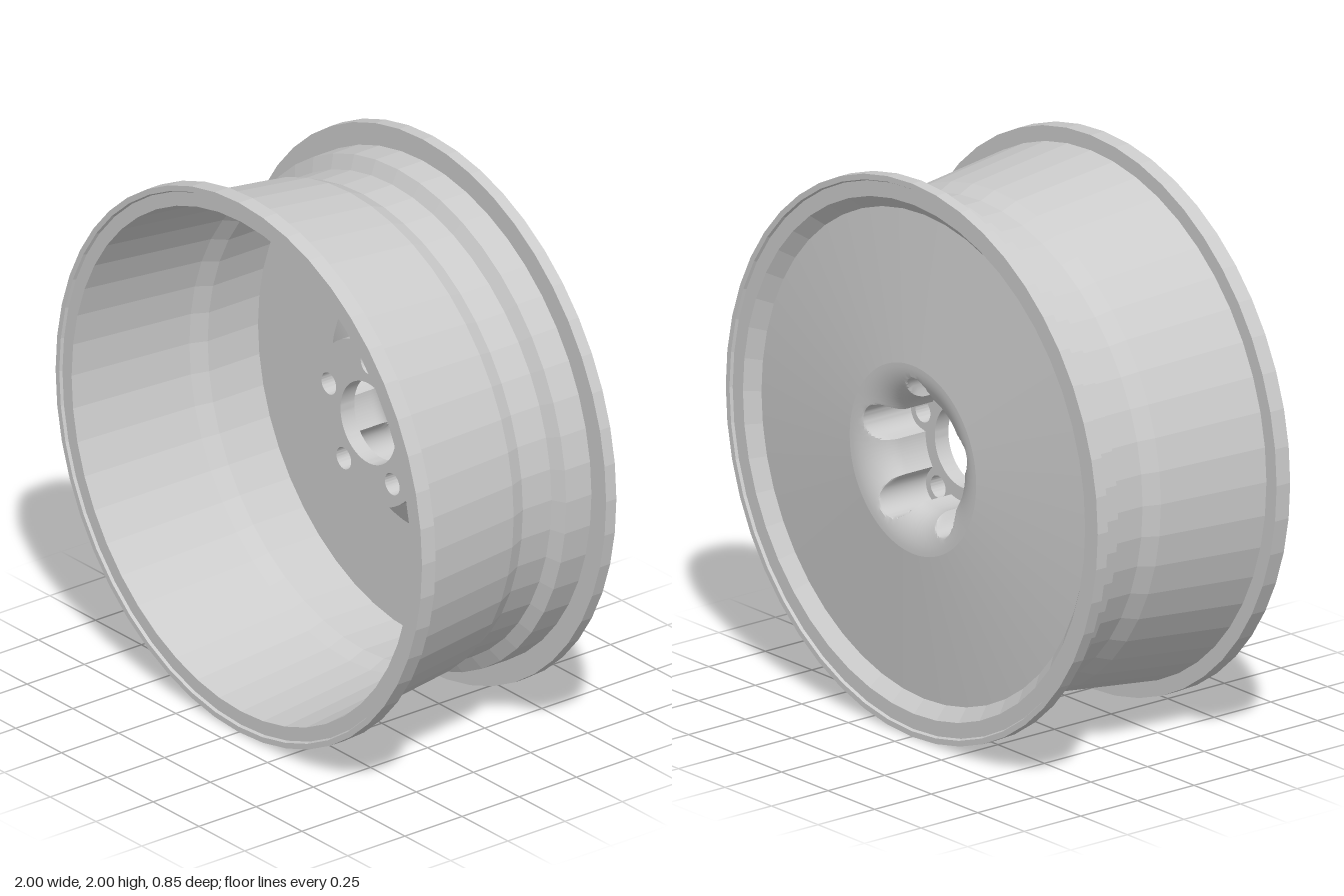
import * as THREE from 'three';
import { toCreasedNormals } from 'three/addons/utils/BufferGeometryUtils.js';

const SEG = 48;
const BOLTS = 5, BOLT_CIRCLE = 0.225, BOLT_R = 0.04, SCALLOP_R = 0.065;
const WALL_R = 0.2, MOUTH_R = 0.34, MOUTH_Z = -0.42, FLOOR_Z = -0.2, HUB_Z = -0.14;

const smooth = new THREE.MeshStandardMaterial({ color: 0xcccccc });
const faceted = new THREE.MeshStandardMaterial({ color: 0xcccccc, flatShading: true });

// Profile of [radius, z] pairs turned around the z axis
function turned(name, profile, material, segments = SEG) {
  const points = profile.map(([r, z]) => new THREE.Vector2(r, z));
  let geometry = new THREE.LatheGeometry(points, segments).rotateX(Math.PI / 2);
  if (material === smooth) geometry = toCreasedNormals(geometry, 0.3);
  const mesh = new THREE.Mesh(geometry, material);
  mesh.name = name;
  return mesh;
}

// Outer radius of the scalloped lug recess at an angle measured from the top
function scallopRadius(angle) {
  const step = (2 * Math.PI) / BOLTS;
  const a = angle - step * Math.round(angle / step);
  const d = SCALLOP_R ** 2 - (BOLT_CIRCLE * Math.sin(a)) ** 2;
  return d > 0 ? BOLT_CIRCLE * Math.cos(a) + Math.sqrt(d) : 0;
}

// Hub recess: rounded mouth, straight wall, five lug scallops
function hubRecess() {
  const rows = [];
  const FILLET = 14, STRAIGHT = 5, depth = 0.11;
  for (let i = 0; i <= FILLET; i++) {
    const t = (i / FILLET) * Math.PI / 2;
    rows.push([MOUTH_R - (MOUTH_R - WALL_R) * Math.sin(t), MOUTH_Z + depth * (1 - Math.cos(t))]);
  }
  for (let i = 1; i <= STRAIGHT; i++) {
    rows.push([WALL_R, THREE.MathUtils.lerp(MOUTH_Z + depth, FLOOR_Z, i / STRAIGHT)]);
  }
  const N = 240, position = [], index = [];
  for (const [r, z] of rows) {
    for (let j = 0; j <= N; j++) {
      const a = (j / N) * 2 * Math.PI;
      const radius = Math.max(r, scallopRadius(a));
      position.push(radius * Math.sin(a), radius * Math.cos(a), z);
    }
  }
  for (let i = 0; i < rows.length - 1; i++) {
    for (let j = 0; j < N; j++) {
      const a = i * (N + 1) + j, b = a + N + 1;
      index.push(a, a + 1, b, a + 1, b + 1, b);
    }
  }
  const geometry = new THREE.BufferGeometry();
  geometry.setAttribute('position', new THREE.Float32BufferAttribute(position, 3));
  geometry.setIndex(index);
  const material = smooth.clone();
  material.side = THREE.DoubleSide;
  const mesh = new THREE.Mesh(toCreasedNormals(geometry, 0.5), material);
  mesh.name = 'hubRecess';
  return mesh;
}

// Mounting plate with centre bore and bolt holes
function mountingPlate() {
  const shape = new THREE.Shape().absarc(0, 0, 0.3, 0, 2 * Math.PI);
  const hole = (x, y, r) => shape.holes.push(new THREE.Path().absarc(x, y, r, 0, 2 * Math.PI, true));
  hole(0, 0, 0.15);
  for (let i = 0; i < BOLTS; i++) {
    const a = (i / BOLTS) * 2 * Math.PI;
    hole(BOLT_CIRCLE * Math.sin(a), BOLT_CIRCLE * Math.cos(a), BOLT_R);
  }
  const geometry = new THREE.ExtrudeGeometry(shape, {
    depth: HUB_Z - FLOOR_Z, bevelEnabled: false, curveSegments: SEG,
  }).translate(0, 0, FLOOR_Z);
  const mesh = new THREE.Mesh(toCreasedNormals(geometry, 0.5), smooth);
  mesh.name = 'mountingPlate';
  return mesh;
}

export function createModel() {
  const wheel = new THREE.Group();
  wheel.name = 'wheelRim';

  // Barrel with drop centre and a flange at each end
  wheel.add(turned('barrel', [
    [0.875, -0.37], [0.92, -0.415], [0.975, -0.415], [0.98, -0.425], [1, -0.425], [1, -0.38],
    [0.92, -0.38], [0.92, -0.27], [0.87, -0.245], [0.87, -0.12],
    [0.895, -0.06], [0.945, 0.365], [1, 0.365], [1, 0.425],
    [0.98, 0.425], [0.975, 0.415], [0.925, 0.415],
    [0.875, -0.06], [0.85, -0.12], [0.85, -0.34],
  ], faceted));

  // Disc: shallow cone behind, flat in front
  wheel.add(turned('discBack', [[MOUTH_R, MOUTH_Z], [0.875, -0.37]], smooth, 96));
  wheel.add(turned('discFront', [[0.85, -0.34], [0.45, -0.34]], smooth));

  // Hub boss standing on a sloped collar
  wheel.add(turned('hubBoss', [[0.45, -0.34], [0.3, -0.28], [0.3, FLOOR_Z]], smooth));
  wheel.add(mountingPlate(), hubRecess());

  wheel.position.y = 1;
  const model = new THREE.Group();
  model.add(wheel);
  return model;
}
